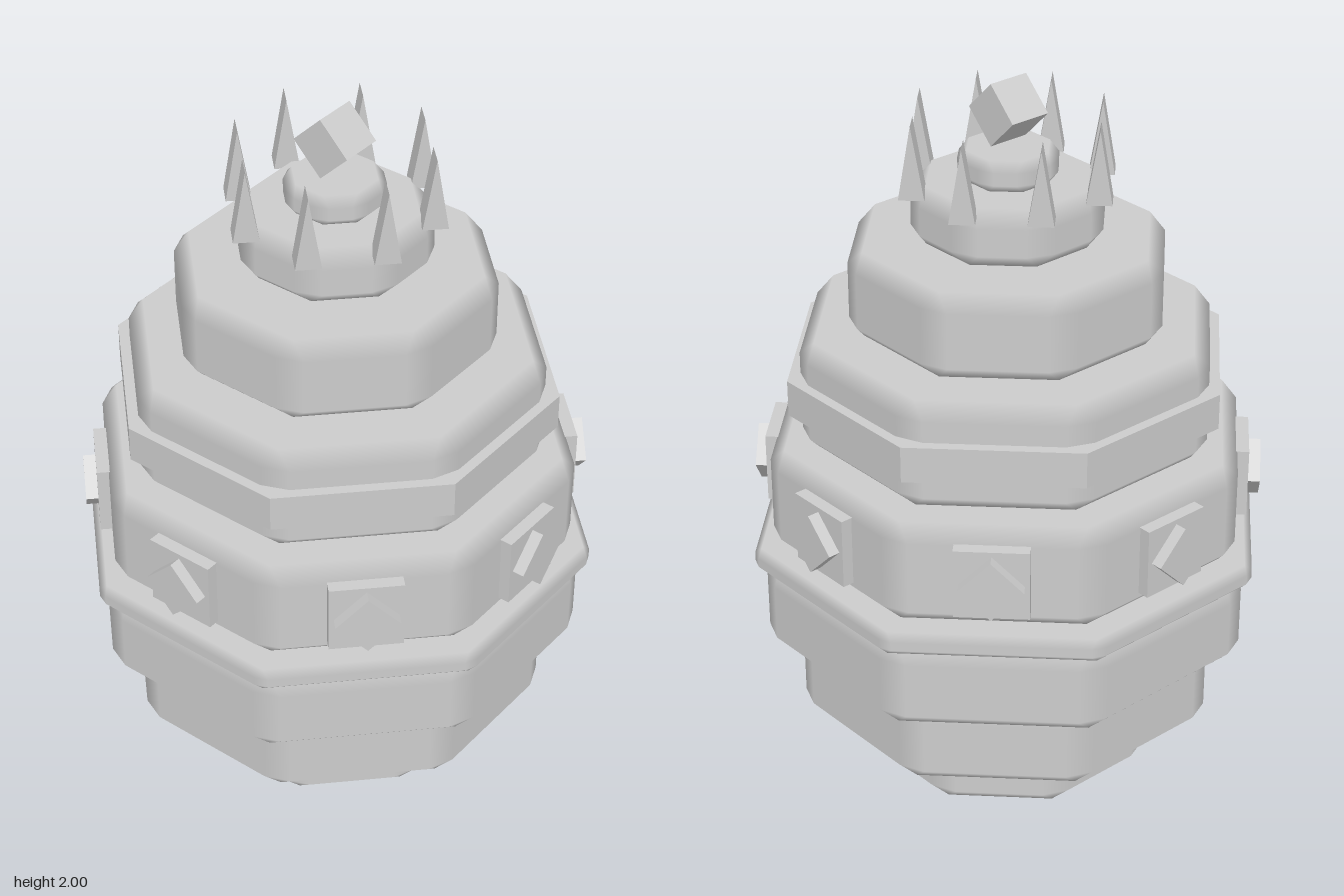
import * as THREE from 'three';

const stone = new THREE.MeshStandardMaterial({ color: 0xcccccc });
stone.name = 'grey stone';
const STEP = Math.PI / 4;

// Octagonal block with bevelled edges: flat faces stay flat, bevels blend between them.
// a = centre-to-face distance, b = bevel size
function bevelledOctagon(a, y0, y1, b) {
  const pos = [], nor = [];
  const half = a * Math.tan(STEP / 2) - b;
  const rim = (a - b) / Math.cos(STEP / 2);
  const up = [0, 1, 0], down = [0, -1, 0];
  const side = (j, s, y) => {
    const sn = Math.sin(j * STEP), cs = Math.cos(j * STEP);
    return { p: [sn * a + cs * half * s, y, cs * a - sn * half * s], n: [sn, 0, cs] };
  };
  const corner = (k, y, n) => ({
    p: [Math.sin((k + 0.5) * STEP) * rim, y, Math.cos((k + 0.5) * STEP) * rim], n,
  });
  const tri = (...vs) => vs.forEach((v) => { pos.push(...v.p); nor.push(...v.n); });
  const quad = (p, q, r, s) => { tri(p, q, r); tri(p, r, s); };
  for (let j = 0; j < 8; j++) {
    const ll = side(j, -1, y0 + b), lr = side(j, 1, y0 + b);
    const hl = side(j, -1, y1 - b), hr = side(j, 1, y1 - b);
    const nl = side(j + 1, -1, y0 + b), nh = side(j + 1, -1, y1 - b);
    const tl = corner(j - 1, y1, up), tr = corner(j, y1, up);
    const bl = corner(j - 1, y0, down), br = corner(j, y0, down);
    quad(ll, lr, hr, hl);            // face
    quad(lr, nl, nh, hr);            // upright bevel
    quad(hl, hr, tr, tl);            // top bevel
    quad(bl, br, lr, ll);            // bottom bevel
    tri(hr, nh, tr);
    tri(br, nl, lr);
    tri({ p: [0, y1, 0], n: up }, tl, tr);
    tri({ p: [0, y0, 0], n: down }, br, bl);
  }
  const g = new THREE.BufferGeometry();
  g.setAttribute('position', new THREE.Float32BufferAttribute(pos, 3));
  g.setAttribute('normal', new THREE.Float32BufferAttribute(nor, 3));
  return g;
}

function add(parent, name, geometry, x = 0, y = 0, z = 0) {
  const m = new THREE.Mesh(geometry, stone);
  m.name = name;
  m.position.set(x, y, z);
  parent.add(m);
  return m;
}

export function createModel() {
  const model = new THREE.Group();
  model.name = 'tieredEgg';

  // Stacked tiers: name, face distance, bottom, top, bevel
  const tiers = [
    ['foot', 0.39, 0, 0.19, 0.042],
    ['lowerTier', 0.558, 0.19, 0.43, 0.042],
    ['bellyTier', 0.645, 0.43, 0.675, 0.042],
    ['belt', 0.67, 0.675, 0.74, 0.02],
    ['plaqueTier', 0.622, 0.74, 1.03, 0.042],
    ['upperTier', 0.537, 1.03, 1.335, 0.042],
    ['shoulderTier', 0.41, 1.335, 1.575, 0.042],
    ['crownBase', 0.25, 1.575, 1.735, 0.042],
    ['gemSeat', 0.13, 1.735, 1.82, 0.025],
  ];
  for (const [name, a, y0, y1, b] of tiers) add(model, name, bevelledOctagon(a, y0, y1, b));

  // Sharp-edged band around the upper tier
  const bandR = 0.565 / Math.cos(STEP / 2);
  const band = new THREE.CylinderGeometry(bandR, bandR, 0.1, 8).rotateY(STEP / 2).toNonIndexed();
  band.computeVertexNormals();
  add(model, 'band', band, 0, 1.185, 0);

  // Plaques with diamond studs, one on each face
  const plateGeo = new THREE.BoxGeometry(0.196, 0.196, 0.06);
  const studGeo = new THREE.BoxGeometry(0.12, 0.12, 0.1).rotateZ(STEP);
  for (let i = 0; i < 8; i++) {
    const plaque = new THREE.Group();
    plaque.name = 'plaque';
    plaque.rotation.y = i * STEP;
    add(plaque, 'plate', plateGeo, 0, 0.893, 0.624);
    add(plaque, 'stud', studGeo, 0, 0.893, 0.637);
    model.add(plaque);
  }

  // Crown of wedge spikes, all with their ridge running front to back
  const wedge = new THREE.Shape([
    new THREE.Vector2(-0.034, 0), new THREE.Vector2(0.034, 0), new THREE.Vector2(0, 0.203),
  ]);
  const spikeGeo = new THREE.ExtrudeGeometry(wedge, { depth: 0.068, bevelEnabled: false })
    .translate(0, 0, -0.034);
  for (let i = 0; i < 8; i++) {
    const t = (i + 0.5) * STEP;
    add(model, 'crownSpike', spikeGeo, Math.sin(t) * 0.26, 1.715, Math.cos(t) * 0.26);
  }

  // Floating cube gem, tipped on its edge
  const gemGeo = new THREE.BoxGeometry(0.12, 0.12, 0.12).rotateX(STEP).rotateY(STEP);
  add(model, 'gem', gemGeo, 0, 1.917, 0);

  return model;
}
